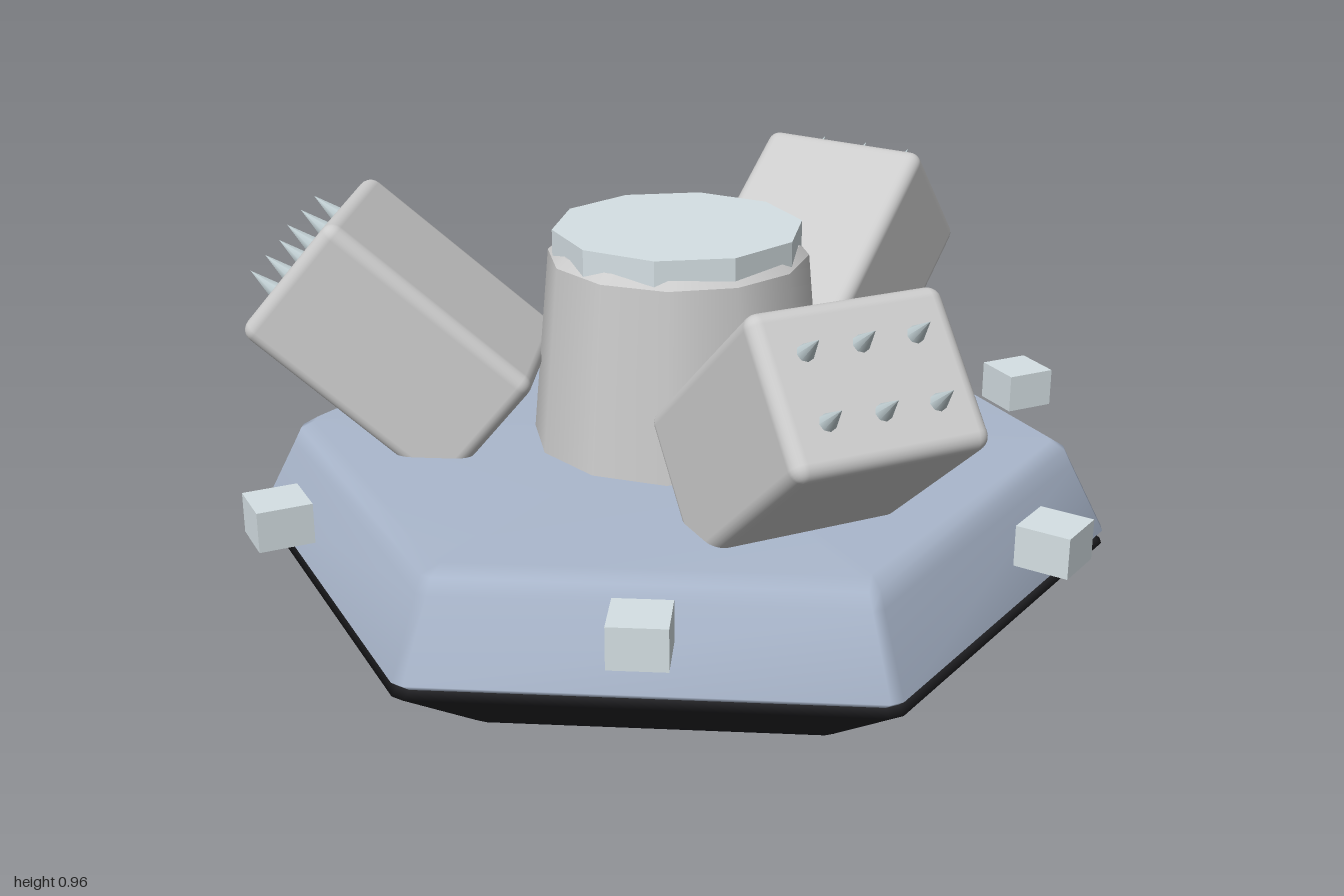
import * as THREE from 'three';
import { RoundedBoxGeometry } from 'three/addons/geometries/RoundedBoxGeometry.js';

const mat = (color, flatShading = false) => new THREE.MeshStandardMaterial({ color, flatShading });

function add(parent, name, geometry, material, x = 0, y = 0, z = 0) {
  const mesh = new THREE.Mesh(geometry, material);
  mesh.name = name;
  mesh.position.set(x, y, z);
  parent.add(mesh);
  return mesh;
}

// Hexagonal shell with slightly bevelled corners; profile rows are [apothem, y], bottom to top
function hexShell(profile) {
  const pos = [], index = [], n = 12;
  for (const [a, y] of profile) {
    const half = a * Math.tan(Math.PI / 6) * 0.965; // half side length, less the corner bevel
    for (let k = 0; k < 6; k++) {
      const t = Math.PI / 6 + k * Math.PI / 3; // direction of the side's middle
      for (const s of [-half, half]) {
        pos.push(a * Math.sin(t) + s * Math.cos(t), y, a * Math.cos(t) - s * Math.sin(t));
      }
    }
  }
  for (let j = 0; j < profile.length - 1; j++) {
    for (let i = 0; i < n; i++) {
      const a = j * n + i, b = j * n + (i + 1) % n;
      index.push(a, b, b + n, a, b + n, a + n);
    }
  }
  const g = new THREE.BufferGeometry();
  g.setAttribute('position', new THREE.Float32BufferAttribute(pos, 3));
  g.setIndex(index);
  g.computeVertexNormals();
  return g;
}

export function createModel() {
  const model = new THREE.Group();
  model.name = 'turretPlatform';
  const grey = mat(0xcccccc);
  const pale = mat(0xd5e0e4, true);
  const steel = mat(0xc4d2d6);

  // Hull: dark underside and blue-grey deck
  add(model, 'lowerHull', hexShell([
    [0, 0], [0.6, 0], [0.635, 0.01], [0.665, 0.032], [0.857, 0.182], [0.84, 0.195], [0, 0.195],
  ]), mat(0x222225));
  add(model, 'upperHull', hexShell([
    [0, 0.197], [0.84, 0.197], [0.857, 0.213], [0.785, 0.375], [0.77, 0.41], [0.74, 0.43], [0, 0.43],
  ]), mat(0xaab7cc));

  // Central tower with bevelled rim and ten-sided cap
  add(model, 'tower', new THREE.CylinderGeometry(0.292, 0.333, 0.45, 12, 1, true), grey, 0, 0.63, 0);
  add(model, 'towerRim', new THREE.CylinderGeometry(0.27, 0.292, 0.02, 12), grey, 0, 0.865, 0);
  add(model, 'towerCap', new THREE.CylinderGeometry(0.28, 0.28, 0.06, 10), pale, 0, 0.887, 0);

  // Three tilted pods with spikes on their outer ends
  const podGeo = new RoundedBoxGeometry(0.43, 0.34, 0.57, 3, 0.03);
  const spikeGeo = new THREE.ConeGeometry(0.02, 0.07, 8).rotateX(Math.PI / 2);
  for (let k = 0; k < 3; k++) {
    const arm = new THREE.Group();
    arm.name = 'podArm';
    arm.rotation.y = k * 2 * Math.PI / 3;
    const pod = new THREE.Group();
    pod.name = 'pod';
    pod.position.set(0, 0.655, 0.625);
    pod.rotation.x = -THREE.MathUtils.degToRad(40);
    add(pod, 'podBody', podGeo, grey);
    for (const x of [-0.12, 0, 0.12]) {
      for (const y of [-0.07, 0.07]) add(pod, 'spike', spikeGeo, steel, x, y, 0.315);
    }
    arm.add(pod);
    model.add(arm);
  }

  // Six small blocks floating around the rim
  const blockGeo = new THREE.BoxGeometry(0.12, 0.09, 0.12);
  for (let k = 0; k < 6; k++) {
    const t = k * Math.PI / 3;
    const block = add(model, 'rimBlock', blockGeo, pale, 0.94 * Math.cos(t), 0.39, -0.94 * Math.sin(t));
    block.rotation.y = t;
  }
  return model;
}
